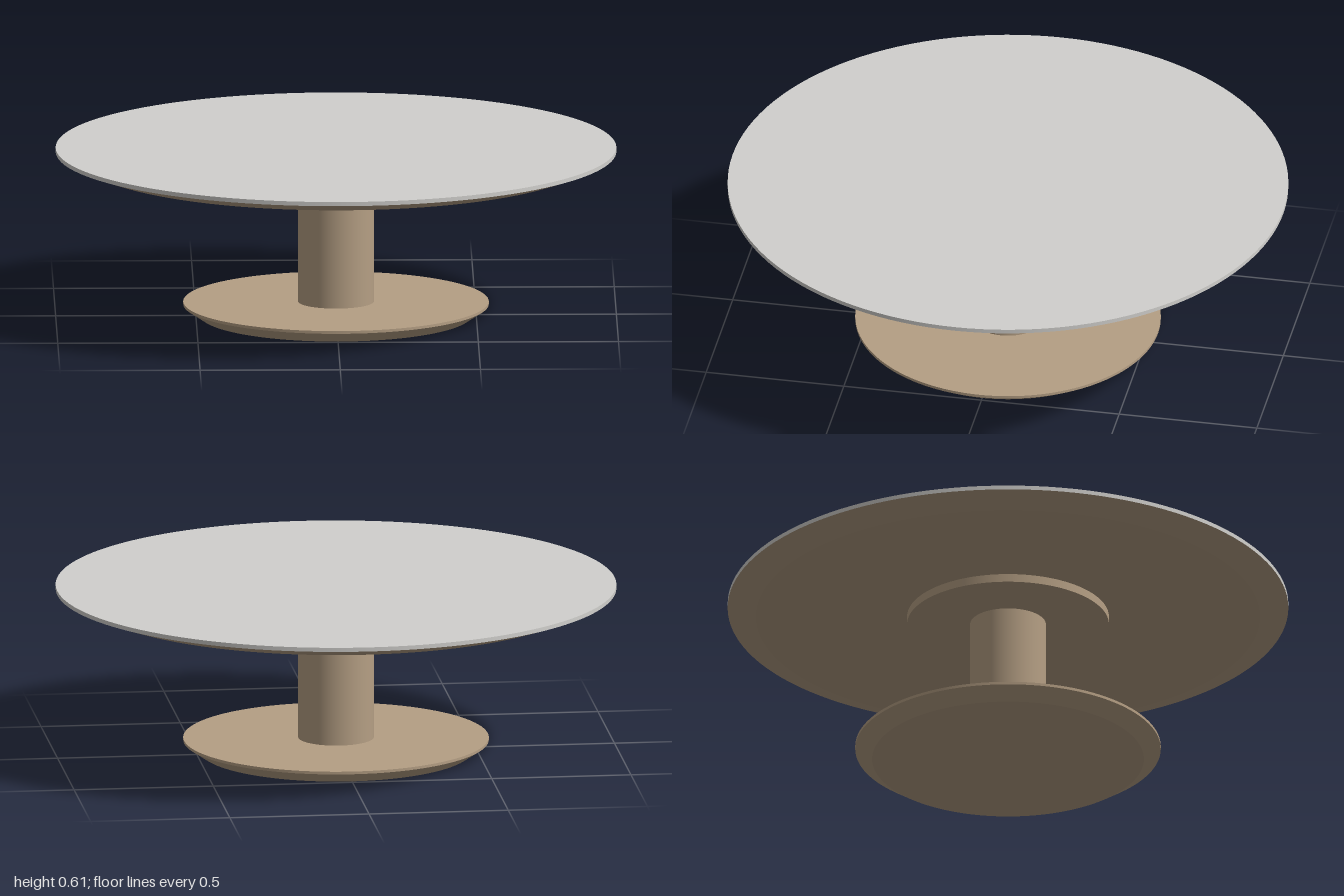
import * as THREE from 'three';

export function createModel() {
  const wood = new THREE.MeshStandardMaterial({ color: 0xb59f84 });
  wood.name = 'warm taupe';
  const stone = new THREE.MeshStandardMaterial({ color: 0xd1d0cd });
  stone.name = 'pale grey';

  const table = new THREE.Group();
  table.name = 'roundPedestalTable';

  // Round section between two heights, tapering from bottom to top radius
  function disc(name, bottomRadius, topRadius, y0, y1, material, openEnded = false) {
    const geometry = new THREE.CylinderGeometry(topRadius, bottomRadius, y1 - y0, 128, 1, openEnded);
    const mesh = new THREE.Mesh(geometry, material);
    mesh.name = name;
    mesh.position.y = (y0 + y1) / 2;
    table.add(mesh);
  }

  // Foot plate with undercut bevel and a thin upright rim
  disc('footBevel', 0.485, 0.545, 0, 0.04, wood);
  disc('footRim', 0.545, 0.545, 0.04, 0.05, wood);

  // Pedestal and the mounting plate under the top
  disc('column', 0.135, 0.135, 0.05, 0.53, wood, true);
  disc('mountingPlate', 0.36, 0.36, 0.53, 0.56, wood);

  // Bevelled table top with a thin surface slab
  disc('topBevel', 0.9, 1, 0.56, 0.595, wood);
  disc('topSurface', 1, 1, 0.595, 0.61, stone);

  return table;
}
